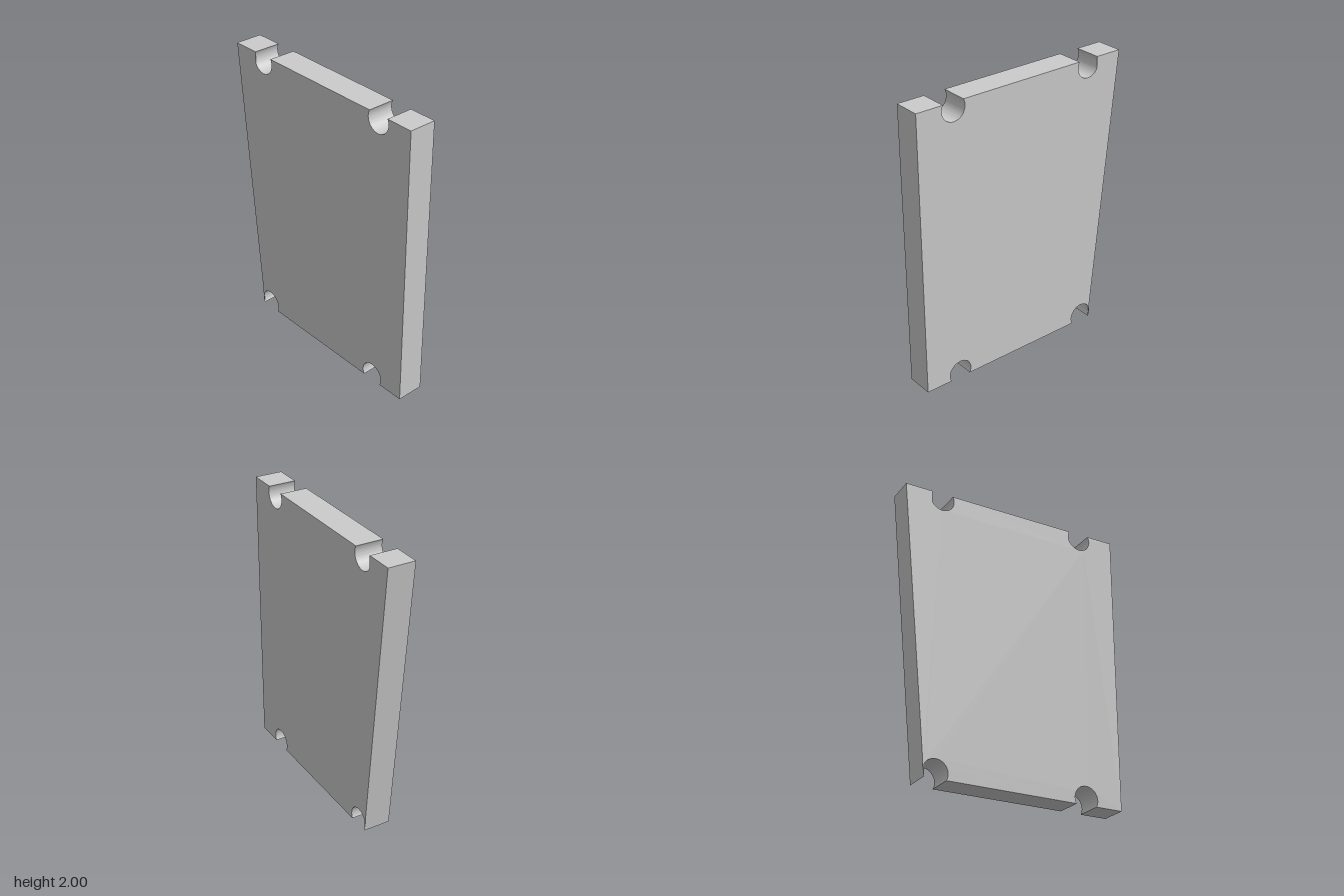
import * as THREE from 'three';
import { toCreasedNormals } from 'three/addons/utils/BufferGeometryUtils.js';

const HALF_WIDTH = 0.807, HEIGHT = 2, DEPTH = 0.19;
const NOTCH_X = 0.538, NOTCH_INSET = 0.041, NOTCH_RADIUS = 0.086;

export function createModel() {
  const group = new THREE.Group();
  group.name = 'notchedPanel';

  // Angle at which each notch circle meets the panel edge
  const a = Math.asin(NOTCH_INSET / NOTCH_RADIUS);

  // Counter-clockwise outline with two round notches in the bottom and top edges
  const outline = new THREE.Shape();
  outline.moveTo(-HALF_WIDTH, 0);
  for (const x of [-NOTCH_X, NOTCH_X]) {
    outline.absarc(x, NOTCH_INSET, NOTCH_RADIUS, Math.PI + a, -a, true);
  }
  outline.lineTo(HALF_WIDTH, 0);
  outline.lineTo(HALF_WIDTH, HEIGHT);
  for (const x of [NOTCH_X, -NOTCH_X]) {
    outline.absarc(x, HEIGHT - NOTCH_INSET, NOTCH_RADIUS, a, Math.PI - a, true);
  }
  outline.lineTo(-HALF_WIDTH, HEIGHT);
  outline.closePath();

  // Flat panel with smooth notch walls and sharp edges
  const geometry = new THREE.ExtrudeGeometry(outline, {
    depth: DEPTH, bevelEnabled: false, curveSegments: 40,
  });
  geometry.translate(0, 0, -DEPTH / 2);
  const panel = new THREE.Mesh(
    toCreasedNormals(geometry, 0.6),
    new THREE.MeshStandardMaterial({ color: 0xcccccc }),
  );
  panel.name = 'panel';
  group.add(panel);
  return group;
}
